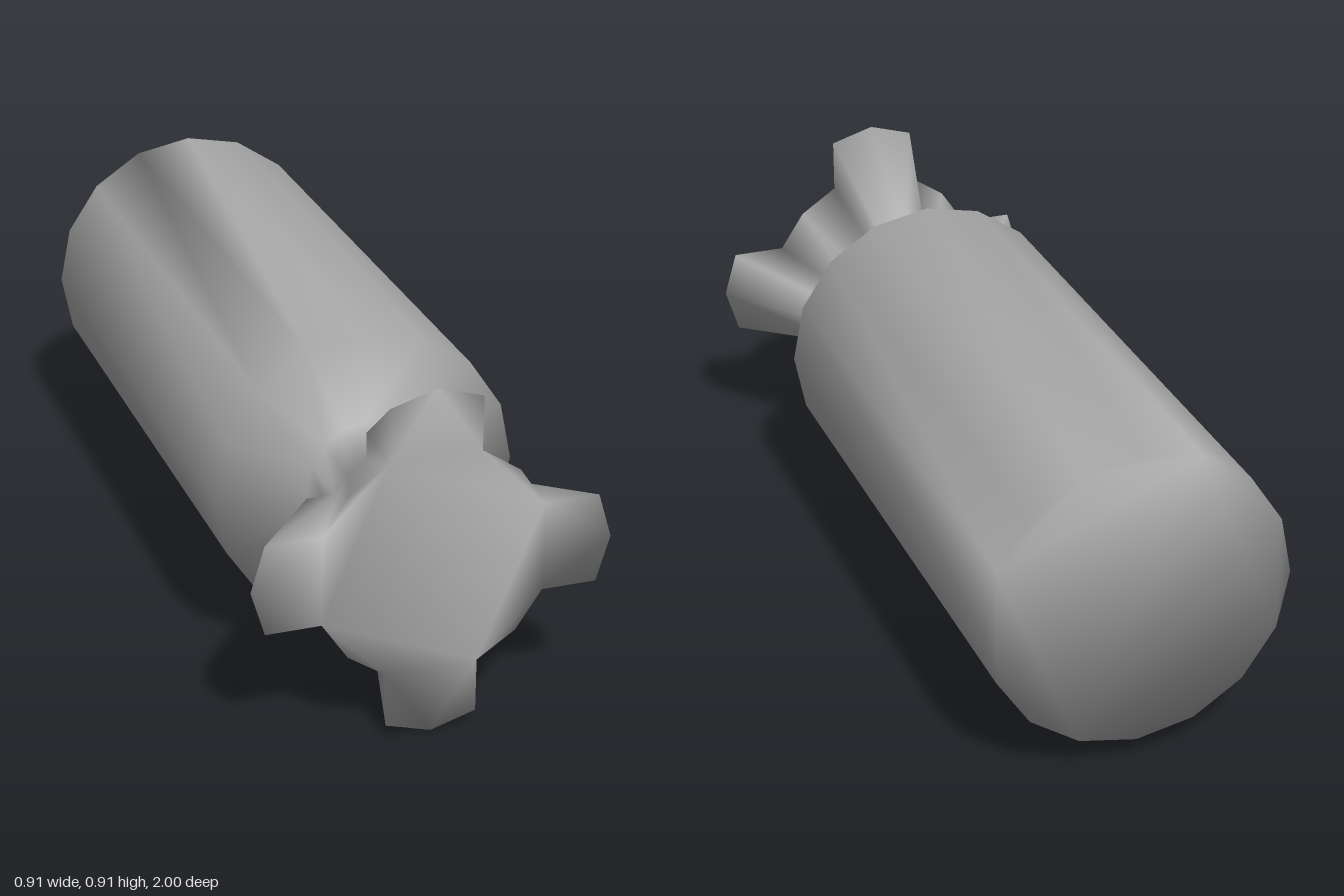
import * as THREE from 'three';
import { mergeVertices } from 'three/addons/utils/BufferGeometryUtils.js';

const CENTER_Y = 0.458;

// One ring of 24 points: a 16-sided circle whose four axis-facing pairs of
// facets can be pushed outward (lobe > 1) into square-sided lobes.
function ring(radius, lobe) {
  const pts = [];
  for (let q = 0; q < 4; q++) {
    const turn = q * Math.PI / 2;
    const add = (step, stretch) => {
      const a = step * Math.PI / 8;
      const p = new THREE.Vector2(Math.cos(a) * radius * stretch, Math.sin(a) * radius);
      pts.push(p.rotateAround(new THREE.Vector2(), turn));
    };
    add(-1, 1);
    add(-1, lobe);
    add(0, lobe);
    add(1, lobe);
    add(1, 1);
    add(2, 1);
  }
  return pts;
}

export function createModel() {
  // Sections from back to front: [z, radius, lobe stretch]
  const sections = [
    [-1, 0.393, 1],
    [0.52, 0.393, 1],
    [0.52, 0.153, 1],
    [0.69, 0.153, 1],
    [0.69, 0.153, 1.5],
    [1, 0.303, 1.5],
  ];
  const N = 24;
  const rings = sections.map(([, r, lobe]) => ring(r, lobe));
  const positions = [];
  rings.forEach((pts, k) => pts.forEach((p) => positions.push(p.x, p.y + CENTER_Y, sections[k][0])));

  const loft = (k) => {
    const out = [];
    for (let i = 0; i < N; i++) {
      const j = (i + 1) % N;
      const a = k * N + i, b = k * N + j, c = b + N, d = a + N;
      out.push(a, b, c, a, c, d);
    }
    return out;
  };

  // Back cap over the 16 distinct corners
  const corners = [];
  for (let q = 0; q < 4; q++) corners.push(q * 6, q * 6 + 2, q * 6 + 4, q * 6 + 5);
  const backCap = THREE.ShapeUtils.triangulateShape(corners.map((i) => rings[0][i]), [])
    .flatMap(([a, b, c]) => [corners[a], corners[c], corners[b]]);

  // Front cap over the lobed outline
  const last = (sections.length - 1) * N;
  const frontCap = THREE.ShapeUtils.triangulateShape(rings[sections.length - 1], [])
    .flatMap((t) => t.map((i) => i + last));

  const parts = {
    body: [...backCap, ...loft(0), ...loft(1)],
    neck: loft(2),
    flaredNozzle: [...loft(3), ...loft(4), ...frontCap],
  };

  // Weld everything so the shading flows smoothly across all parts
  let shell = new THREE.BufferGeometry();
  shell.setAttribute('position', new THREE.Float32BufferAttribute(positions, 3));
  shell.setIndex(Object.values(parts).flat());
  shell = mergeVertices(shell, 1e-4);
  shell.computeVertexNormals();

  const grey = new THREE.MeshStandardMaterial({ color: 0xaaaaaa });
  grey.name = 'grey';

  // Each part takes its own faces of the welded shell
  const group = new THREE.Group();
  group.name = 'flaredCanister';
  const allFaces = Array.from(shell.index.array);
  let start = 0;
  for (const [name, faces] of Object.entries(parts)) {
    const geometry = new THREE.BufferGeometry();
    geometry.setAttribute('position', shell.attributes.position.clone());
    geometry.setAttribute('normal', shell.attributes.normal.clone());
    const own = allFaces.slice(start, start + faces.length);
    start += faces.length;
    // Drop the collapsed triangles where lobe corners coincide
    const kept = [];
    for (let i = 0; i < own.length; i += 3) {
      const [a, b, c] = own.slice(i, i + 3);
      if (a !== b && b !== c && c !== a) kept.push(a, b, c);
    }
    geometry.setIndex(kept);
    const mesh = new THREE.Mesh(geometry, grey);
    mesh.name = name;
    group.add(mesh);
  }
  return group;
}
